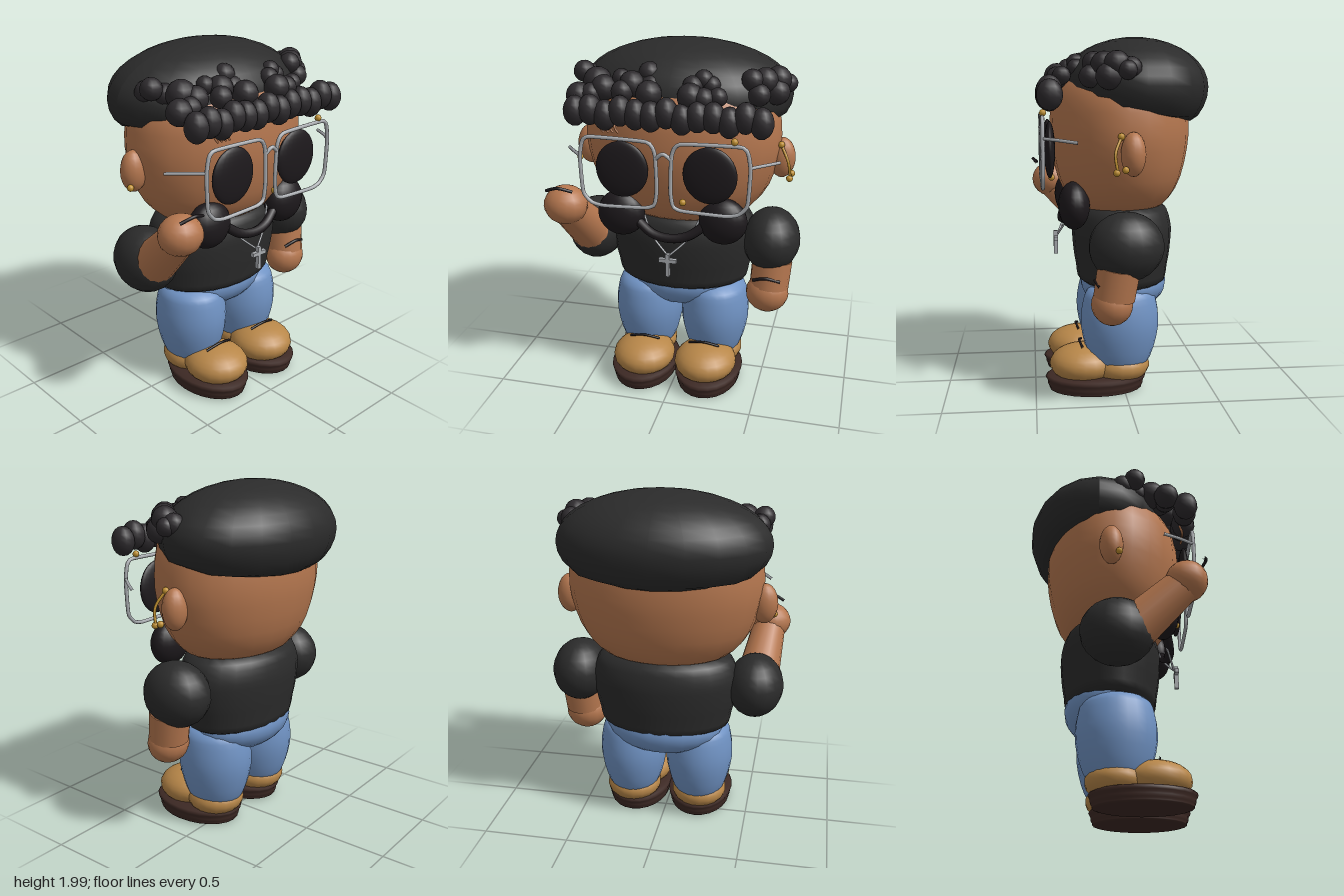
import * as THREE from 'three';

const mat = (color) => new THREE.MeshStandardMaterial({ color });
const V = (p) => new THREE.Vector3(...p);

export function createModel() {
  const root = new THREE.Group();
  const skin = mat(0xb5774f), black = mat(0x2b2b2b), curlMat = mat(0x2d2a2d), dark = mat(0x1d191c);
  const denim = mat(0x7093c4), tan = mat(0xb88749), soleMat = mat(0x3d2924);
  const silver = mat(0xa9acb0), gold = mat(0xc0902f);

  const add = (name, geo, material, pos = [0, 0, 0], parent = root) => {
    const m = new THREE.Mesh(geo, material);
    m.name = name;
    m.position.set(...pos);
    parent.add(m);
    return m;
  };
  const ball = (name, material, pos, r, seg = 18, parent = root) => {
    const m = add(name, new THREE.SphereGeometry(1, seg, Math.ceil(seg * 0.7)), material, pos, parent);
    if (Array.isArray(r)) m.scale.set(...r); else m.scale.setScalar(r);
    return m;
  };
  const tube = (name, material, pts, r, closed = false, tension = 0.5, n = 16) =>
    add(name, new THREE.TubeGeometry(
      new THREE.CatmullRomCurve3(pts.map(V), closed, 'catmullrom', tension), n, r, 8, closed), material);
  const limb = (name, material, a, b, r0, r1) => {
    const d = V(b).sub(V(a));
    const m = add(name, new THREE.CylinderGeometry(r1, r0, d.length(), 16), material);
    m.position.copy(V(a)).addScaledVector(d, 0.5);
    m.quaternion.setFromUnitVectors(new THREE.Vector3(0, 1, 0), d.normalize());
    return m;
  };
  // Round body with an elliptical section; profile rows are [relative radius, y]
  const body = (name, material, profile, rx, rz, pos, parent = root) => {
    const curve = new THREE.SplineCurve(profile.map((p) => new THREE.Vector2(...p)));
    const pts = curve.getPoints(18).map((p) => new THREE.Vector2(Math.max(p.x, 0), p.y));
    const geo = new THREE.LatheGeometry(pts, 24);
    geo.scale(rx, 1, rz);
    return add(name, geo, material, pos, parent);
  };

  // Head, with a fuller brow and a narrower jaw
  body('head', skin, [[0, 1.02], [0.5, 1.035], [0.7, 1.08], [0.88, 1.2], [0.985, 1.38], [1, 1.53],
    [0.93, 1.7], [0.6, 1.85], [0, 1.9]], 0.555, 0.395, [0, 0, 0.005]);

  // Hair cap: domed above, cut flat along a plane that dips to the back
  const capGeo = new THREE.SphereGeometry(1, 20, 18);
  const p = capGeo.attributes.position;
  for (let i = 0; i < p.count; i++) {
    const z = p.getZ(i) * 0.42 - 0.08, yy = p.getY(i);
    const y = 1.72 + yy * (yy > 0 ? 0.28 : 0.32);
    p.setXYZ(i, p.getX(i) * 0.6, Math.max(y, 1.605 + z * 0.19), z);
  }
  capGeo.computeVertexNormals();
  add('hairCap', capGeo, black);

  // Curls: a fringe row and four loose clusters above it
  const curls = new THREE.Group();
  curls.name = 'curls';
  root.add(curls);
  for (let i = 0; i < 13; i++) {
    const x = -0.485 + i * 0.082;
    ball('fringeCurl', curlMat, [x, 1.685 + 0.015 * Math.sin(i * 2.4), 0.41],
      [0.062, 0.082, 0.068], 12, curls);
  }
  const clusters = [
    [-0.51, 1.80, 0.05, 0.06], [-0.53, 1.83, 0.12, 0.06], [-0.45, 1.79, 0.13, 0.06], [-0.42, 1.8, 0.22, 0.08],
    [-0.37, 1.78, 0.27, 0.07], [-0.43, 1.75, 0.3, 0.06], [-0.50, 1.74, 0.3, 0.07],
    [-0.28, 1.83, 0.24, 0.05], [-0.21, 1.81, 0.28, 0.07], [-0.13, 1.86, 0.22, 0.06], [-0.11, 1.8, 0.26, 0.06],
    [-0.1, 1.78, 0.35, 0.07], [-0.25, 1.78, 0.33, 0.06],
    [0.12, 1.82, 0.3, 0.055], [0.17, 1.85, 0.26, 0.05], [0.21, 1.82, 0.26, 0.05], [0.12, 1.78, 0.36, 0.07],
    [0.19, 1.77, 0.36, 0.06], [0.26, 1.78, 0.34, 0.05],
    [0.54, 1.81, 0.0, 0.06], [0.58, 1.8, 0.02, 0.05], [0.53, 1.83, 0.07, 0.07], [0.47, 1.83, 0.13, 0.07],
    [0.41, 1.84, 0.18, 0.06], [0.53, 1.77, 0.11, 0.07], [0.45, 1.77, 0.2, 0.06],
  ];
  for (const [x, y, z, r] of clusters) ball('looseCurl', curlMat, [x, y, z], r, 12, curls);

  // Torso in a short-sleeved top
  body('torso', black, [[0, 0.595], [0.8, 0.605], [0.93, 0.7], [1, 0.85], [0.99, 0.96], [0.8, 1.06], [0, 1.12]],
    0.425, 0.285, [0, 0, -0.01]);

  // Jeans
  ball('hips', denim, [0, 0.6, -0.02], [0.35, 0.17, 0.25], 22);

  for (const s of [-1, 1]) {
    const side = s > 0 ? 'left' : 'right';
    // Legs and shoes
    body(side + 'Leg', denim, [[0, 0.1], [0.5, 0.12], [0.8, 0.2], [1, 0.37], [0.95, 0.52], [0.75, 0.6], [0, 0.65]],
      0.2, 0.22, [s * 0.203, 0, 0.02]);
    body(side + 'Sole', soleMat, [[0, 0.01], [0.86, 0.012], [0.97, 0.03], [1, 0.06], [0.96, 0.1], [0, 0.11]],
      0.19, 0.275, [s * 0.195, 0, 0.157]);
    ball(side + 'ShoeToe', tan, [s * 0.187, 0.16, 0.225], [0.182, 0.11, 0.195], 20);
    ball(side + 'ShoeHeel', tan, [s * 0.205, 0.15, 0.02], [0.165, 0.1, 0.17], 18);
    tube(side + 'ShoeTrim', dark, [[s * 0.09, 0.268, 0.235], [s * 0.18, 0.288, 0.25], [s * 0.27, 0.265, 0.235]], 0.007);

    // Face
    ball(side + 'Ear', skin, [s * 0.56, 1.375, -0.012], [0.075, 0.115, 0.066], 16);
    ball(side + 'Eye', dark, [s * 0.238, 1.38, 0.408], [0.145, 0.155, 0.03], 22);
    ball(side + 'Beard', dark, [s * 0.288, 1.08, 0.28], [0.135, 0.132, 0.087], 20);

    // Glasses
    const rim = [[0.09, 1.552], [0.4, 1.56], [0.44, 1.53], [0.455, 1.44], [0.445, 1.25], [0.4, 1.195], [0.33, 1.18],
      [0.1, 1.188], [0.05, 1.21], [0.037, 1.3], [0.045, 1.49]];
    tube(side + 'GlassesRim', silver, rim.map(([x, y]) => [s * x, y, 0.448]), 0.011, true, 0.25, 66);
    tube(side + 'GlassesArm', silver, [[s * 0.455, 1.452, 0.445], [s * 0.52, 1.445, 0.36], [s * 0.58, 1.435, 0.27]], 0.009);

    // Sleeves
    ball(side + 'Sleeve', black, [s * 0.525, s > 0 ? 0.89 : 0.865, 0.02], [0.165, 0.185, 0.2], 18);

    // Chain half
    tube('necklace', silver, [[s * 0.165, 1.09, 0.27], [s * 0.1, 0.97, 0.315], [0, 0.875, 0.36]], 0.006);
  }
  tube('glassesBridge', silver, [[-0.042, 1.465, 0.448], [0, 1.495, 0.455], [0.042, 1.465, 0.448]], 0.011);
  tube('chinStrap', dark, [[-0.19, 1.05, 0.3], [-0.1, 0.99, 0.325], [0, 0.972, 0.335], [0.1, 0.99, 0.325],
    [0.19, 1.05, 0.3]], 0.027);
  for (let i = 0; i < 4; i++) {
    const x = -0.365 + i * 0.027;
    tube('browStroke', skin, [[x, 1.63, 0.385], [x + 0.015, 1.595, 0.4], [x + 0.03, 1.575, 0.4]], 0.006);
  }

  // Pendant
  add('pendantUpright', new THREE.BoxGeometry(0.022, 0.135, 0.024), silver, [0, 0.828, 0.372]);
  add('pendantBar', new THREE.BoxGeometry(0.1, 0.022, 0.024), silver, [0, 0.855, 0.372]);

  // Left arm hanging down
  limb('leftForearm', skin, [0.54, 0.78, 0.06], [0.53, 0.62, 0.085], 0.115, 0.112);
  ball('leftHand', skin, [0.522, 0.585, 0.095], [0.124, 0.115, 0.112], 16);
  tube('leftWristBand', dark, [[0.445, 0.685, 0.165], [0.52, 0.712, 0.185], [0.6, 0.69, 0.165]], 0.009);

  // Right arm raised
  limb('rightForearm', skin, [-0.53, 0.87, 0.1], [-0.57, 1.11, 0.36], 0.125, 0.098);
  ball('rightElbow', skin, [-0.53, 0.89, 0.12], 0.123, 16);
  ball('rightHand', skin, [-0.575, 1.14, 0.385], [0.123, 0.11, 0.115], 16);
  tube('rightWristBand', dark, [[-0.65, 1.245, 0.47], [-0.575, 1.272, 0.495], [-0.5, 1.25, 0.47]], 0.009);

  // Gold studs and earrings
  tube('earringBar', gold, [[0.56, 1.465, 0.05], [0.605, 1.38, 0.085], [0.618, 1.29, 0.075]], 0.008);
  const studs = [[0.56, 1.465, 0.05], [0.615, 1.285, 0.08], [0.622, 1.3, 0.035], [-0.615, 1.302, 0.03],
    [0.37, 1.583, 0.445], [0.09, 1.215, 0.395]];
  for (const s of studs) ball('goldStud', gold, s, 0.019, 10);

  return root;
}
